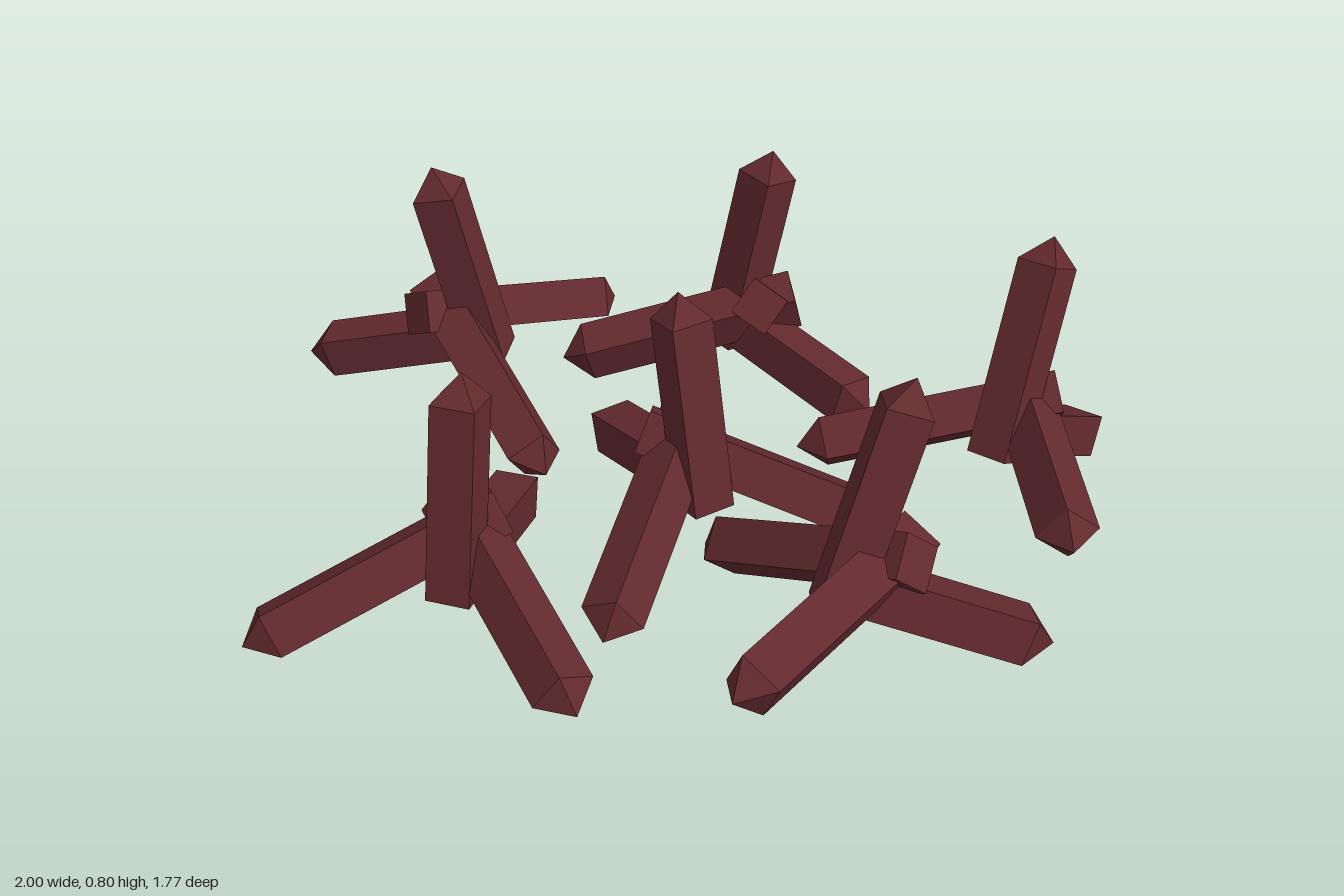
import * as THREE from 'three';

const V = (a) => new THREE.Vector3(...a);
const SIDE = 0.094;   // thickness of a square bar
const POINT = 0.06;   // length of its pyramid tip

const material = new THREE.MeshStandardMaterial({ color: 0x632a2e, flatShading: true });

// Square bar with one flat end and one pointed end
function makeBar(name, start, tip, ref, roll) {
  const dir = tip.clone().sub(start);
  const length = dir.length();
  const r = SIDE / Math.SQRT2;
  const profile = [[0, 0], [r, 0], [r, length - POINT], [0, length]].map((p) => new THREE.Vector2(...p));
  const geometry = new THREE.LatheGeometry(profile, 4);
  geometry.rotateY(Math.PI / 4 + roll);

  dir.normalize();
  const x = new THREE.Vector3().crossVectors(ref, dir).normalize();
  const z = new THREE.Vector3().crossVectors(x, dir);
  const bar = new THREE.Mesh(geometry, material);
  bar.name = name;
  bar.quaternion.setFromRotationMatrix(new THREE.Matrix4().makeBasis(x, dir, z));
  bar.position.copy(start);
  return bar;
}

// One four-armed spike: three drooping feet and a leaning post
function makeSpike() {
  const spike = new THREE.Group();
  const up = V([0, 1, 0]);
  const back = V([0, 0, -1]);
  spike.add(
    makeBar('backFoot', V([0.01, 0.1, -0.01]), V([0, -0.02, -0.44]), up, 0),
    makeBar('leftFoot', V([0.06, 0.165, -0.14]), V([-0.36, 0, 0.225]), up, 0.55),
    makeBar('rightFoot', V([-0.05, 0.165, -0.15]), V([0.34, 0, 0.22]), up, -0.55),
    makeBar('post', V([0.01, 0.04, 0]), V([0.01, 0.52, -0.11]), back, 0),
  );
  return spike;
}

// Where the three feet of each spike touch: back, left, right
const placements = {
  centreSpike: [[-0.01, 0.2, -0.29], [-0.37, 0.2, 0.37], [0.31, 0.2, 0.36]],
  sideSpike: [[-0.28, 0.2, -0.17], [-1.0, 0.2, 0.01], [-0.51, 0.2, 0.49]],
  rearSpike: [[-0.45, 0.2, -0.87], [-0.21, 0.2, -0.17], [0.24, 0.2, -0.68]],
  rearTiltedSpike: [[0.51, 0.21, 0.01], [0.69, 0.02, -0.68], [0.04, 0.18, -0.52]],
  sideTiltedSpike: [[0.99, 0.1, 0.24], [0.28, 0.23, 0.1], [0.51, 0.3, 0.73]],
  frontTiltedSpike: [[0.32, 0.27, 0.86], [-0.07, 0.22, 0.24], [-0.37, 0.42, 0.84]],
};

export function createModel() {
  const model = new THREE.Group();
  model.name = 'scatteredSpikes';
  for (const [name, feet] of Object.entries(placements)) {
    const [b, l, r] = feet.map(V);
    // Frame of the triangle spanned by the feet
    const y = l.clone().sub(b).cross(r.clone().sub(b)).normalize();
    const z = l.clone().add(r).multiplyScalar(0.5).sub(b).normalize();
    const x = new THREE.Vector3().crossVectors(y, z);
    const spike = makeSpike();
    spike.name = name;
    spike.quaternion.setFromRotationMatrix(new THREE.Matrix4().makeBasis(x, y, z));
    spike.position.copy(b).add(l).add(r).divideScalar(3);
    model.add(spike);
  }
  return model;
}
